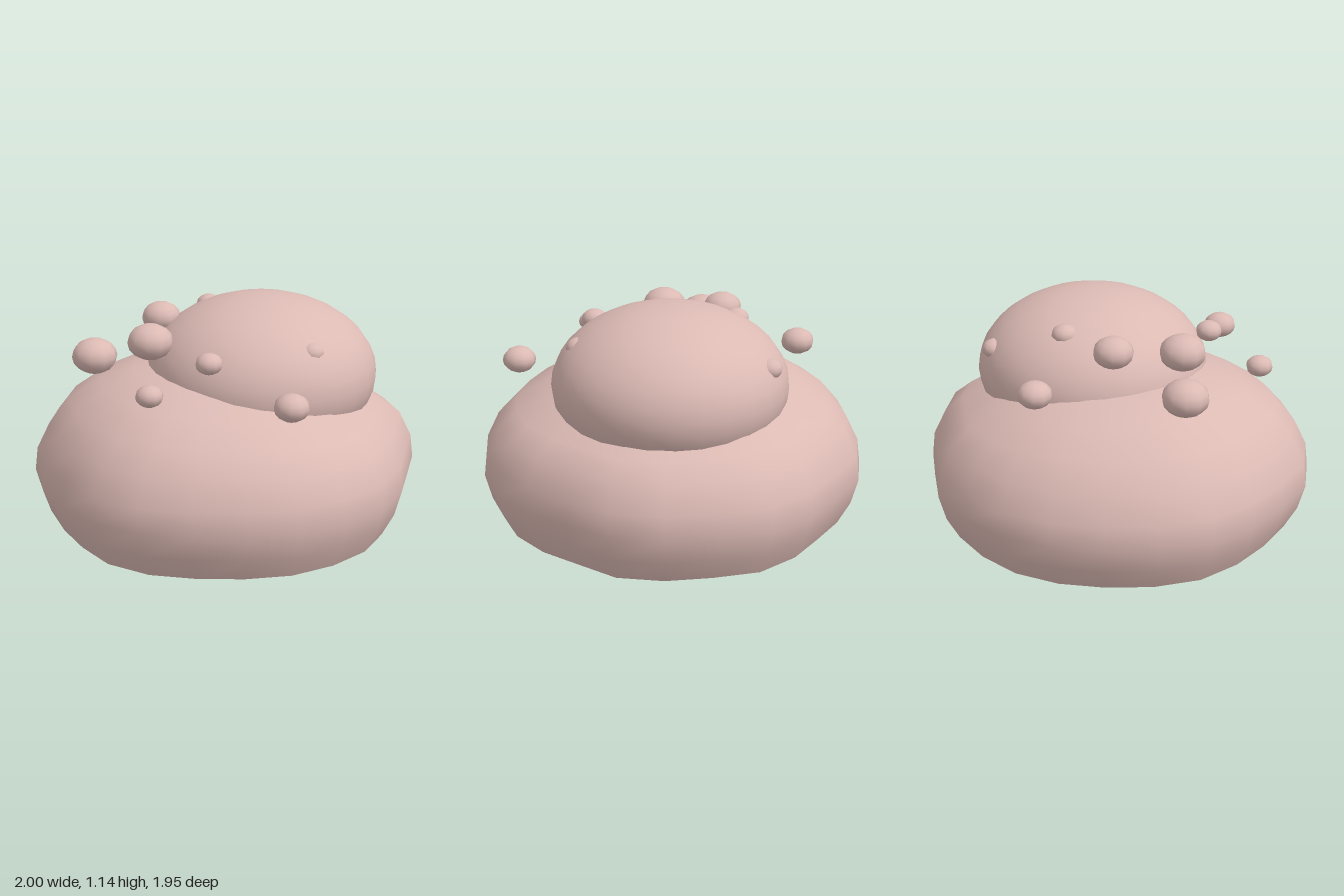
import * as THREE from 'three';

const skin = new THREE.MeshStandardMaterial({ color: 0xdcbab4 });
skin.name = 'dusty pink';

// Outline radius of the mound every 15 degrees, from +x towards +z
const outline = [1, 0.97, 0.98, 0.985, 0.935, 0.95, 0.97, 0.97, 0.97, 0.955, 0.96, 0.99,
  1, 0.975, 0.98, 0.995, 0.98, 0.97, 0.98, 0.99, 0.985, 0.99, 0.955, 0.98];

// Mound profile from the base to the crown: [radius scale, height]
const profile = [[0.9, 0], [0.965, 0.12], [1, 0.25], [0.985, 0.37], [0.92, 0.5],
  [0.82, 0.6], [0.66, 0.69], [0.48, 0.76], [0.25, 0.8], [0, 0.81]];

function moundPoint(k, scale, y) {
  const a = (k / outline.length) * Math.PI * 2;
  const r = outline[k % outline.length] * scale;
  const x = r * Math.cos(a), z = r * Math.sin(a);
  // the crown sinks a little towards the front left
  const tilt = THREE.MathUtils.smoothstep(y, 0.5, 0.68) * 0.045;
  return [x, y - tilt * (x + z), z];
}

function moundGeometry() {
  const n = outline.length, pos = [], index = [];
  for (const [scale, y] of profile) {
    for (let k = 0; k < n; k++) pos.push(...moundPoint(k, scale, y));
  }
  for (let i = 0; i < profile.length - 1; i++) {
    for (let k = 0; k < n; k++) {
      const a = i * n + k, b = i * n + (k + 1) % n;
      index.push(a, a + n, b);
      if (i < profile.length - 2) index.push(b, a + n, b + n);
    }
  }
  const g = new THREE.BufferGeometry();
  g.setAttribute('position', new THREE.Float32BufferAttribute(pos, 3));
  g.setIndex(index);
  g.computeVertexNormals();
  // the crown vertices share one point, so give them all an upright normal
  for (let k = 0; k < n; k++) g.attributes.normal.setXYZ((profile.length - 1) * n + k, 0, 1, 0);
  return g;
}

// Flat underside, kept apart for a sharp edge
function baseGeometry() {
  const n = outline.length, pos = [0, 0, 0], index = [];
  for (let k = 0; k < n; k++) {
    pos.push(...moundPoint(k, profile[0][0], 0));
    index.push(0, k + 1, (k + 1) % n + 1);
  }
  const g = new THREE.BufferGeometry();
  g.setAttribute('position', new THREE.Float32BufferAttribute(pos, 3));
  g.setIndex(index);
  g.computeVertexNormals();
  return g;
}

export function createModel() {
  const group = new THREE.Group();
  const add = (name, geometry) => {
    const mesh = new THREE.Mesh(geometry, skin);
    mesh.name = name;
    group.add(mesh);
    return mesh;
  };

  add('lowerMound', moundGeometry());
  add('moundBase', baseGeometry());

  // Squashed dome resting on the mound
  const dome = add('upperDome', new THREE.SphereGeometry(1, 28, 18));
  dome.scale.set(0.592, 0.4, 0.592);
  dome.position.set(0.165, 0.74, 0.09);

  // Small flattened beads around the dome: x, y, z, radius
  const beads = [
    [-0.49, 0.86, -0.46, 0.115], [-0.39, 0.965, -0.17, 0.115], [-0.1, 1.0, -0.36, 0.1],
    [0.195, 0.855, -0.64, 0.085], [-0.71, 0.825, 0.115, 0.067], [-0.415, 0.935, 0.23, 0.067],
    [-0.36, 0.8, 0.68, 0.085], [0.18, 1.025, -0.275, 0.067], [0.575, 0.885, -0.23, 0.065],
    [0.015, 0.945, 0.515, 0.065],
  ];
  const beadGeometry = new THREE.SphereGeometry(1, 10, 8);
  beads.forEach(([x, y, z, r], i) => {
    const bead = add('bead' + (i + 1), beadGeometry);
    bead.position.set(x, y, z);
    bead.scale.set(r, r * 0.78, r);
  });
  return group;
}
